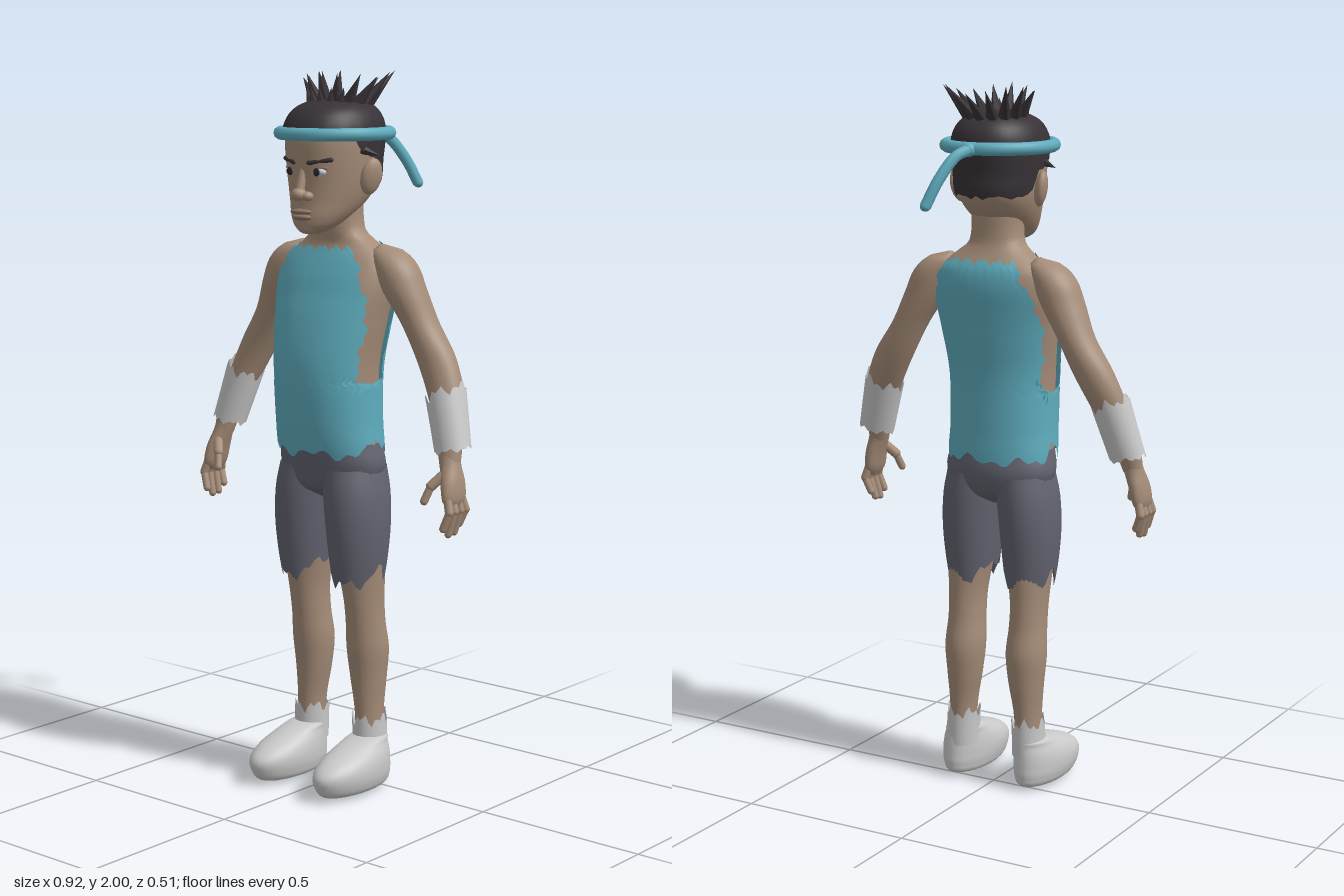
import * as THREE from 'three';

const { sin, cos, abs, PI, sign, min, max } = Math;
const mat = (name, color, side = THREE.FrontSide) => {
  const m = new THREE.MeshStandardMaterial({ color, side });
  m.name = name;
  return m;
};
const V = (x, y, z) => new THREE.Vector3(x, y, z);
const ragged = (t) => 0.5 * sin(5 * t) + 0.5 * sin(11 * t + 2);
const smooth = THREE.MathUtils.smoothstep;

// Smooth interpolation of cross-section rows [y, cx, cz, rx, rz], ascending in y
function sample(rows, y) {
  let i = 0;
  while (i < rows.length - 2 && y > rows[i + 1][0]) i++;
  const a = rows[i], b = rows[i + 1], h = b[0] - a[0];
  const t = min(1, max(0, (y - a[0]) / h));
  const p = rows[i - 1] || a, q = rows[i + 2] || b;
  return [1, 2, 3, 4].map((k) => {
    const m0 = ((b[k] - p[k]) / (b[0] - p[0])) * h, m1 = ((q[k] - a[k]) / (q[0] - a[0])) * h;
    const d = b[k] - a[k];
    return a[k] + t * (m0 + t * (3 * d - 2 * m0 - m1 + t * (m0 + m1 - 2 * d)));
  });
}

// Surface made of horizontal oval slices; angle 0 faces the front
function column(rows, s = 1, pow = 1) {
  return (y, th, off = 0) => {
    const [cx, cz, rx, rz] = sample(rows, y), S = sin(th), C = cos(th);
    return V(s * cx + (max(rx, 0.001) + off) * sign(S) * abs(S) ** pow, y,
      cz + (max(rz, 0.001) + off) * sign(C) * abs(C) ** pow);
  };
}

// Grid surface from fn(u, v), optionally closed around u
function grid(fn, nu, nv, closed = true) {
  const pos = [], idx = [], w = closed ? nu : nu + 1;
  for (let j = 0; j <= nv; j++)
    for (let i = 0; i < w; i++) pos.push(...fn(i / nu, j / nv).toArray());
  for (let j = 0; j < nv; j++)
    for (let i = 0; i < nu; i++) {
      const a = j * w + i, b = j * w + ((i + 1) % w);
      idx.push(a, b, b + w, a, b + w, a + w);
    }
  const g = new THREE.BufferGeometry();
  g.setAttribute('position', new THREE.Float32BufferAttribute(pos, 3));
  g.setIndex(idx);
  g.computeVertexNormals();
  return g;
}

export function createModel() {
  const model = new THREE.Group();
  model.name = 'figure';
  const D = THREE.DoubleSide;
  const skin = mat('skin', 0xa58c78);
  const lip = mat('lip', 0x8e7364);
  const cloth = mat('blue cloth', 0x5eacbd, D);
  const shortsMat = mat('slate cloth', 0x62636f, D);
  const hairMat = mat('dark hair', 0x383236, D);
  const white = mat('off white', 0xc9c9c9, D);
  const eyeDark = mat('eye dark', 0x2c2630);

  const add = (name, g, m) => {
    const mesh = new THREE.Mesh(g, m);
    mesh.name = name;
    model.add(mesh);
    return mesh;
  };
  const ball = (name, m, p, sc) => {
    const b = add(name, new THREE.SphereGeometry(1, 18, 12), m);
    b.position.set(...p);
    b.scale.set(...sc);
    return b;
  };
  const span = (g, a, b) => {
    const d = b.clone().sub(a);
    g.applyQuaternion(new THREE.Quaternion().setFromUnitVectors(V(0, 1, 0), d.normalize()));
    return g.translate((a.x + b.x) / 2, (a.y + b.y) / 2, (a.z + b.z) / 2);
  };
  const bone = (name, m, a, b, r) =>
    add(name, span(new THREE.CapsuleGeometry(r, a.distanceTo(b), 4, 10), a, b), m);
  const spike = (name, a, b, r) => {
    const g = span(new THREE.ConeGeometry(r, a.distanceTo(b), 6), a, b).toNonIndexed();
    g.computeVertexNormals();
    add(name, g, hairMat);
  };
  const solid = (name, rows, m, s = 1, pow = 1, nv = 40) => {
    const f = column(rows, s, pow), y0 = rows[0][0], y1 = rows[rows.length - 1][0];
    add(name, grid((u, v) => f(y0 + (y1 - y0) * v, u * 2 * PI), 28, nv), m);
  };
  // Open sleeve whose lower and upper rims follow functions of the angle
  const sleeve = (name, rows, m, s, lo, hi, off = 0) => {
    const f = column(rows, s);
    add(name, grid((u, v) => {
      const th = u * 2 * PI, y0 = lo(th * s), y1 = hi(th * s);
      return f(y0 + (y1 - y0) * v, th, off);
    }, 36, 14), m);
  };

  // Torso and neck
  const torso = [[0.86, 0, 0.04, 0.12, 0.08], [0.95, 0, 0.05, 0.146, 0.105], [1.05, 0, 0.06, 0.143, 0.116],
    [1.2, 0, 0.062, 0.145, 0.122], [1.33, 0, 0.042, 0.163, 0.118], [1.43, 0, 0.02, 0.178, 0.105],
    [1.5, 0, 0.008, 0.165, 0.082], [1.535, 0, 0.01, 0.12, 0.065], [1.57, 0, 0.02, 0.08, 0.06], [1.68, 0, 0.025, 0.075, 0.062]];
  solid('torso', torso, skin, 1, 0.9, 60);

  // Torn shirt: front and back panels, joined low on the flanks
  const shirt = column(torso, 1, 0.9);
  for (const [name, mid] of [['shirtFront', 0], ['shirtBack', PI]]) {
    add(name, grid((u, v) => {
      const k = 2 * u - 1, side = abs(k);
      const lo = 0.965 + 0.018 * ragged(2 * k + mid) + 0.035 * smooth(side, 0.8, 0.95);
      const y = lo + (1.525 + 0.012 * ragged(3 * k) - lo) * v;
      const open = 1.2 - 0.55 * smooth(y, 1.3, 1.52) + 0.08 * ragged(y * 14 + sign(k) + mid);
      return shirt(y, mid + k * (y < 1.16 ? PI / 2 : open), 0.012 + 0.012 * smooth(y, 1.38, 1.52));
    }, 36, 44, false), cloth);
  }

  // Shorts seat
  const seat = [[0.83, 0, 0.045, 0.03, 0.04], [0.86, 0, 0.045, 0.12, 0.09], [0.92, 0, 0.043, 0.163, 0.11], [0.99, 0, 0.053, 0.152, 0.115]];
  solid('shortsSeat', seat, shortsMat, 1, 0.95, 14);

  // Head
  const head = [[1.563, 0, 0.125, 0.015, 0.015], [1.575, 0, 0.122, 0.045, 0.045], [1.605, 0, 0.097, 0.074, 0.078], [1.65, 0, 0.062, 0.098, 0.11],
    [1.7, 0, 0.043, 0.113, 0.13], [1.76, 0, 0.043, 0.12, 0.135], [1.82, 0, 0.04, 0.122, 0.142], [1.86, 0, 0.036, 0.115, 0.137],
    [1.895, 0, 0.03, 0.092, 0.11], [1.915, 0, 0.02, 0.05, 0.06], [1.92, 0, 0.015, 0.001, 0.001]];
  solid('head', head, skin, 1, 0.95, 48);
  bone('noseBridge', skin, V(0, 1.735, 0.165), V(0, 1.68, 0.182), 0.013);
  ball('noseTip', skin, [0, 1.672, 0.184], [0.02, 0.018, 0.022]);
  ball('upperLip', lip, [0, 1.625, 0.176], [0.036, 0.008, 0.015]);
  ball('lowerLip', lip, [0, 1.61, 0.172], [0.032, 0.009, 0.016]);
  ball('chin', skin, [0, 1.583, 0.148], [0.035, 0.02, 0.024]);

  // Hair cap, low at the nape and high on the forehead
  const hairSurf = column(head, 1, 0.95);
  add('hairCap', grid((u, v) => {
    const th = u * 2 * PI, a = th > PI ? 2 * PI - th : th;
    const lo = 1.835 - 0.06 * smooth(a, 1.1, 1.45) - 0.075 * smooth(a, 1.65, 1.95) + 0.008 * ragged(2 * a);
    const p = hairSurf(lo + (1.92 - lo) * v, th, 0.009 * (1 - v ** 8));
    p.y += 0.008 * v;
    return p;
  }, 48, 22), hairMat);

  // Crown of spikes
  for (let i = 0; i < 14; i++) {
    const a = (i / 14) * 2 * PI, S = sin(a), C = cos(a);
    spike('hairSpike', V(0.06 * S, 1.895, 0.012 + 0.06 * C), V(0.125 * S, 1.99 + 0.01 * cos(3 * a), -0.025 + 0.127 * C), 0.022);
  }
  for (let i = 0; i < 5; i++) {
    const a = (i - 2) * 0.45;
    spike('frontSpike', V(0.06 * sin(a), 1.89, 0.05 + 0.04 * cos(a)), V(0.085 * sin(a), 1.955, 0.035 + 0.065 * cos(a)), 0.018);
  }

  // Headband with knot and trailing end
  const band = add('headband', new THREE.TorusGeometry(0.147, 0.018, 10, 40).rotateX(PI / 2), cloth);
  band.position.set(0, 1.832, 0.035);
  band.scale.z = 1.04;
  ball('headbandKnot', cloth, [0.005, 1.83, -0.13], [0.024, 0.02, 0.018]);
  const tail = new THREE.CatmullRomCurve3([V(0, 1.83, -0.13), V(0.018, 1.815, -0.17), V(0.045, 1.755, -0.215), V(0.07, 1.685, -0.243)]);
  add('headbandTail', new THREE.TubeGeometry(tail, 16, 0.016, 8), cloth);
  ball('headbandTailEnd', cloth, [0.07, 1.685, -0.243], [0.015, 0.013, 0.013]);

  const arm = [[0.96, 0.413, 0.048, 0.028, 0.028], [1.05, 0.395, 0.028, 0.04, 0.034], [1.15, 0.358, 0, 0.054, 0.043],
    [1.24, 0.315, -0.012, 0.059, 0.048], [1.33, 0.262, -0.01, 0.053, 0.053], [1.42, 0.214, 0, 0.062, 0.062],
    [1.48, 0.188, 0.002, 0.06, 0.06], [1.52, 0.16, 0.002, 0.042, 0.04], [1.535, 0.14, 0.002, 0.004, 0.004]];
  const palm = [[0.85, 0.436, 0.06, 0.008, 0.02], [0.87, 0.436, 0.06, 0.02, 0.042], [0.92, 0.428, 0.055, 0.026, 0.042],
    [0.97, 0.413, 0.047, 0.028, 0.03], [1.02, 0.4, 0.035, 0.03, 0.03]];
  const cuff = [[0.98, 0.412, 0.03, 0.052, 0.046], [1.08, 0.383, 0.015, 0.055, 0.052], [1.2, 0.348, -0.002, 0.058, 0.062]];
  const shortsLeg = [[0.57, 0.092, 0.045, 0.062, 0.076], [0.66, 0.094, 0.046, 0.075, 0.09], [0.76, 0.093, 0.046, 0.083, 0.102],
    [0.85, 0.087, 0.045, 0.084, 0.106], [0.92, 0.078, 0.043, 0.078, 0.102]];
  const leg = [[0.08, 0.11, 0.012, 0.038, 0.042], [0.22, 0.106, 0.012, 0.039, 0.045], [0.32, 0.101, 0.01, 0.051, 0.054],
    [0.4, 0.1, 0.012, 0.058, 0.062], [0.48, 0.1, 0.022, 0.053, 0.06], [0.56, 0.1, 0.03, 0.053, 0.066], [0.7, 0.094, 0.042, 0.07, 0.085]];
  const shoe = [[0.008, 0.117, 0.1, 0.03, 0.09], [0.014, 0.117, 0.095, 0.055, 0.125], [0.04, 0.118, 0.1, 0.069, 0.143], [0.075, 0.118, 0.102, 0.073, 0.145],
    [0.105, 0.117, 0.085, 0.068, 0.126], [0.132, 0.114, 0.052, 0.056, 0.09], [0.15, 0.111, 0.02, 0.046, 0.056], [0.158, 0.11, 0.014, 0.02, 0.025]];

  for (const s of [1, -1]) {
    const L = s > 0 ? 'left' : 'right';
    // Face features
    ball(L + 'Ear', skin, [s * 0.128, 1.718, 0.035], [0.018, 0.05, 0.032]).rotation.set(-0.15, s * -0.35, s * -0.2);
    ball(L + 'Nostril', skin, [s * 0.021, 1.667, 0.172], [0.015, 0.013, 0.018]);
    ball(L + 'Eye', white, [s * 0.048, 1.732, 0.155], [0.022, 0.012, 0.014]);
    ball(L + 'Pupil', eyeDark, [s * 0.047, 1.732, 0.167], [0.011, 0.011, 0.004]);
    bone(L + 'UpperLid', lip, V(s * 0.028, 1.744, 0.166), V(s * 0.069, 1.742, 0.152), 0.0045);
    bone(L + 'Eyebrow', hairMat, V(s * 0.026, 1.757, 0.173), V(s * 0.08, 1.765, 0.146), 0.007);
    spike(L + 'Sideburn', V(s * 0.118, 1.79, 0.06), V(s * 0.168, 1.775, 0.045), 0.014);

    // Arm, hand and torn wrist cuff
    solid(L + 'Arm', arm, skin, s);
    solid(L + 'Palm', palm, skin, s, 1, 16);
    [[0.095, 0.8], [0.072, 0.782], [0.047, 0.785], [0.024, 0.805]].forEach(([z, tip], i) => {
      const mid = V(s * 0.448, 0.845, z);
      bone(L + 'Finger' + i, skin, V(s * 0.436, 0.885, 0.06 + (z - 0.06) * 0.8), mid, 0.012);
      bone(L + 'FingerTip' + i, skin, mid, V(s * 0.432, tip, z + 0.006), 0.0105);
    });
    bone(L + 'ThumbBase', skin, V(s * 0.415, 0.945, 0.07), V(s * 0.388, 0.91, 0.098), 0.014);
    bone(L + 'Thumb', skin, V(s * 0.388, 0.91, 0.098), V(s * 0.376, 0.87, 0.112), 0.011);
    sleeve(L + 'Cuff', cuff, white, s, (t) => 1.0 + 0.012 * sin(t) + 0.008 * ragged(t),
      (t) => 1.15 + 0.022 * sin(t) + 0.018 * ragged(t));

    // Leg, shorts leg, sock and shoe
    solid(L + 'Leg', leg, skin, s);
    sleeve(L + 'ShortsLeg', shortsLeg, shortsMat, s,
      (t) => 0.6 + 0.02 * ragged(t) + 0.05 * max(0, -sin(t)) ** 3 + 0.04 * max(0, sin(t)) ** 12, () => 0.92);
    sleeve(L + 'Sock', leg, white, s, () => 0.1, (t) => 0.2 + 0.022 * ragged(t), 0.009);
    solid(L + 'Shoe', shoe, white, s);
    ball(L + 'SolePatch', skin, [s * 0.117, 0.011, 0.09], [0.035, 0.009, 0.085]);
  }
  return model;
}
